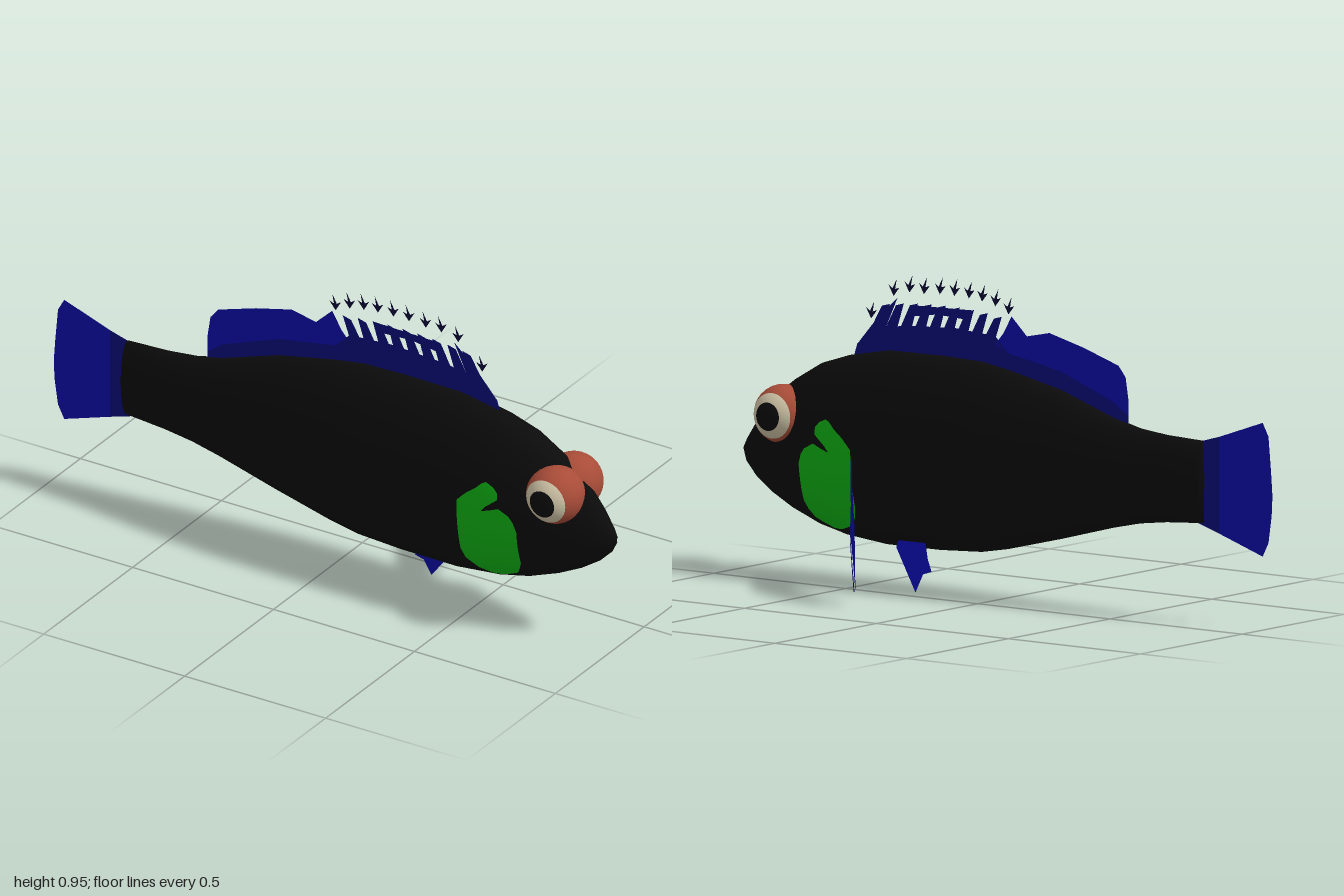
import * as THREE from 'three';

const MID = 0.15; // body centre plane in z
const mat = (name, color, side = THREE.FrontSide) => {
  const m = new THREE.MeshStandardMaterial({ color, side });
  m.name = name;
  return m;
};

// Body sections: x, belly y, back y, half width
const SECTIONS = [
  [-0.742, 0.415, 0.425, 0.002], [-0.74, 0.295, 0.545, 0.036], [-0.6, 0.285, 0.55, 0.047],
  [-0.5, 0.272, 0.56, 0.056], [-0.4, 0.25, 0.583, 0.066], [-0.2, 0.197, 0.65, 0.088],
  [0, 0.148, 0.692, 0.106], [0.1, 0.13, 0.708, 0.113], [0.25, 0.122, 0.712, 0.117],
  [0.45, 0.121, 0.71, 0.118], [0.6, 0.137, 0.682, 0.116], [0.7, 0.16, 0.65, 0.109],
  [0.8, 0.198, 0.592, 0.092], [0.88, 0.238, 0.527, 0.068], [0.94, 0.278, 0.458, 0.044],
  [0.98, 0.318, 0.402, 0.023], [1, 0.358, 0.37, 0.004]];

// Interpolated section: centre y, half height, half width
function section(x) {
  let i = 1;
  while (i < SECTIONS.length - 1 && SECTIONS[i + 1][0] < x) i++;
  const a = SECTIONS[i], b = SECTIONS[i + 1];
  const t = (x - a[0]) / (b[0] - a[0]);
  const [lo, hi, w] = [1, 2, 3].map((k) => a[k] + (b[k] - a[k]) * t);
  return { cy: (lo + hi) / 2, h: (hi - lo) / 2, w };
}

// Surface from a grid of points; wrap joins the last column to the first
function gridGeometry(rows, wrap) {
  const n = rows[0].length, index = [];
  for (let i = 0; i < rows.length - 1; i++) {
    for (let j = 0; j < (wrap ? n : n - 1); j++) {
      const k = (j + 1) % n, a = i * n, b = a + n;
      index.push(a + j, a + k, b + j, a + k, b + k, b + j);
    }
  }
  const g = new THREE.BufferGeometry();
  g.setAttribute('position', new THREE.Float32BufferAttribute(rows.flat(2), 3));
  g.setIndex(index);
  g.computeVertexNormals();
  return g;
}

function bodyGeometry() {
  const rows = SECTIONS.map(([x, lo, hi, w]) => Array.from({ length: 48 }, (_, j) => {
    const a = (j / 48) * Math.PI * 2;
    return [x, (lo + hi) / 2 + Math.cos(a) * (hi - lo) / 2, MID + Math.sin(a) * w];
  }));
  return gridGeometry(rows, true);
}

// Cheek patch lying just above the body; columns are x, lower y, upper y
function patchGeometry(columns, side) {
  const rows = columns.map(([x, lo, hi]) => Array.from({ length: 13 }, (_, j) => {
    const y = lo + (hi - lo) * j / 12, s = section(x);
    const c = Math.sqrt(Math.max(0, 1 - ((y - s.cy) / s.h) ** 2));
    return [x, y, MID + side * (s.w * c + 0.005)];
  }));
  if (side > 0) rows.reverse();
  return gridGeometry(rows, false);
}

// Flat fin from an outline, with an optional rule that moves its points
function finGeometry(points, place = (u, v) => [u, v, MID]) {
  const g = new THREE.ShapeGeometry(new THREE.Shape(points.map((p) => new THREE.Vector2(...p))));
  const p = g.attributes.position;
  for (let i = 0; i < p.count; i++) p.setXYZ(i, ...place(p.getX(i), p.getY(i)));
  g.computeVertexNormals();
  return g;
}

export function createModel() {
  const group = new THREE.Group();
  const black = mat('body black', 0x0b0b0b);
  const blue = mat('fin blue', 0x0c0cac, THREE.DoubleSide);
  const darkBlue = mat('fin base blue', 0x0a0a7c, THREE.DoubleSide);
  const navy = mat('spine tip navy', 0x0a0a38, THREE.DoubleSide);
  const green = mat('cheek green', 0x10b414, THREE.DoubleSide);
  const brown = mat('eye brown', 0xa84c38);
  const cream = mat('eye cream', 0xcfc3a6);
  const add = (name, geometry, material, parent = group) => {
    const m = new THREE.Mesh(geometry, material);
    m.name = name;
    parent.add(m);
    return m;
  };

  add('body', bodyGeometry(), black);

  // Eyes (bands of one sphere) and cheek patches on both sides
  const bands = [['pupil', black, 0, 0.5], ['iris', cream, 0.5, 0.88], ['eyeball', brown, 0.88, Math.PI]];
  const cheek = [[0.505, 0.24, 0.41], [0.515, 0.205, 0.412], [0.55, 0.173, 0.41], [0.59, 0.16, 0.4],
    [0.62, 0.16, 0.41], [0.65, 0.172, 0.422], [0.685, 0.19, 0.405], [0.7, 0.215, 0.385], [0.71, 0.24, 0.355]];
  const lobe = [[0.505, 0.4, 0.415], [0.54, 0.405, 0.45], [0.57, 0.405, 0.472], [0.59, 0.4, 0.492],
    [0.605, 0.418, 0.5], [0.63, 0.438, 0.488], [0.645, 0.45, 0.472]];
  for (const side of [1, -1]) {
    const eye = new THREE.Group();
    eye.name = side > 0 ? 'leftEye' : 'rightEye';
    eye.position.set(0.813, 0.49, MID + side * 0.05);
    eye.rotation.x = side * Math.PI / 2;
    for (const [name, m, from, to] of bands) {
      add(name, new THREE.SphereGeometry(0.09, 32, 16, 0, Math.PI * 2, from, to - from), m, eye);
    }
    group.add(eye);
    add('cheekPatch', patchGeometry(cheek, side), green);
    add('cheekPatchLobe', patchGeometry(lobe, side), green);
  }

  // Tail fin
  add('tailFin', finGeometry([[-0.8, 0.563], [-0.963, 0.62], [-0.985, 0.58], [-0.995, 0.47], [-1, 0.4],
    [-0.997, 0.34], [-0.985, 0.257], [-0.963, 0.214], [-0.8, 0.268]]), blue);
  add('tailFinBase', finGeometry([[-0.72, 0.54], [-0.8, 0.563], [-0.8, 0.268], [-0.72, 0.293]]), darkBlue);

  // Dorsal fin: soft rear lobe, dark base and a row of swept spines
  add('dorsalFin', finGeometry([[-0.455, 0.59], [-0.455, 0.64], [-0.444, 0.71], [-0.417, 0.743],
    [-0.283, 0.786], [-0.155, 0.818], [-0.07, 0.8], [-0.012, 0.855], [0.02, 0.8], [0.05, 0.765],
    [0, 0.74], [-0.2, 0.705], [-0.4, 0.63]]), blue);
  add('dorsalFinBase', finGeometry([[-0.455, 0.54], [-0.455, 0.595], [-0.4, 0.632], [-0.2, 0.707],
    [0, 0.742], [0.05, 0.79], [0.2, 0.8], [0.4, 0.79], [0.5, 0.765], [0.572, 0.72], [0.585, 0.68],
    [0.3, 0.69], [0, 0.67], [-0.2, 0.63]]), darkBlue);
  const spines = new THREE.Group();
  spines.name = 'dorsalSpines';
  group.add(spines);
  for (let i = 0; i < 9; i++) {
    const x = 0.045 + i * 0.053, top = 0.865 - 0.0009 * (i - 4) ** 2;
    add('spine', finGeometry([[x - 0.02, top], [x + 0.01, top - 0.008], [x + 0.055, 0.765],
      [x + 0.01, 0.765]]), darkBlue, spines);
  }
  add('spineWeb', finGeometry([[0.13, 0.86], [0.35, 0.855], [0.37, 0.82], [0.27, 0.835], [0.17, 0.83]]), darkBlue, spines);
  add('frontSpine', finGeometry([[0.42, 0.872], [0.5, 0.8], [0.575, 0.715], [0.47, 0.765]]), darkBlue, spines);

  // Three-pronged tips floating above the spines
  const tips = [[0, 0.86], [0.05, 0.88], [0.1, 0.89], [0.15, 0.895], [0.205, 0.897], [0.26, 0.897],
    [0.32, 0.892], [0.375, 0.892], [0.435, 0.876], [0.52, 0.8]];
  for (const [x, y] of tips) {
    add('spineTip', finGeometry([[x, y], [x + 0.019, y + 0.033], [x + 0.004, y + 0.023], [x - 0.012, y + 0.053],
      [x - 0.006, y + 0.022], [x - 0.022, y + 0.027]]), navy, spines);
  }

  // Right pectoral fin, outlined in (z, y) and swept back from the body
  const sweep = (z, y) => [z > -0.11 ? 0.4 + (z + 0.11) * 0.714 : 0.4 + (z + 0.11) * 0.889, y, z];
  add('pectoralFinBase', finGeometry([[0.05, 0.4], [-0.07, 0.397], [-0.125, 0.391], [-0.14, 0.378],
    [-0.148, 0.168], [-0.1, 0.202], [-0.03, 0.243], [0.05, 0.284]], sweep), darkBlue);
  add('pectoralFin', finGeometry([[-0.14, 0.378], [-0.2, 0.325], [-0.245, 0.25], [-0.268, 0.18],
    [-0.265, 0.1], [-0.29, 0.066], [-0.28, 0.053], [-0.21, 0.118], [-0.148, 0.168]], sweep), blue);
  add('pectoralRay', finGeometry([[0.05, 0.275], [-0.03, 0.23], [-0.1, 0.182], [-0.18, 0.112],
    [-0.255, 0.04], [-0.228, 0.036], [-0.18, 0.082], [-0.1, 0.158], [-0.03, 0.216], [0.05, 0.264]], sweep), darkBlue);

  // Small pelvic fin under the belly
  add('pelvicFin', finGeometry([[0.28, 0.15], [0.26, 0.1], [0.238, 0.065], [0.268, 0.055], [0.285, 0],
    [0.325, 0.05], [0.385, 0.125], [0.38, 0.15]], (x, y) => [x, y, 0.063 + 0.28 * y]), blue);

  return group;
}
